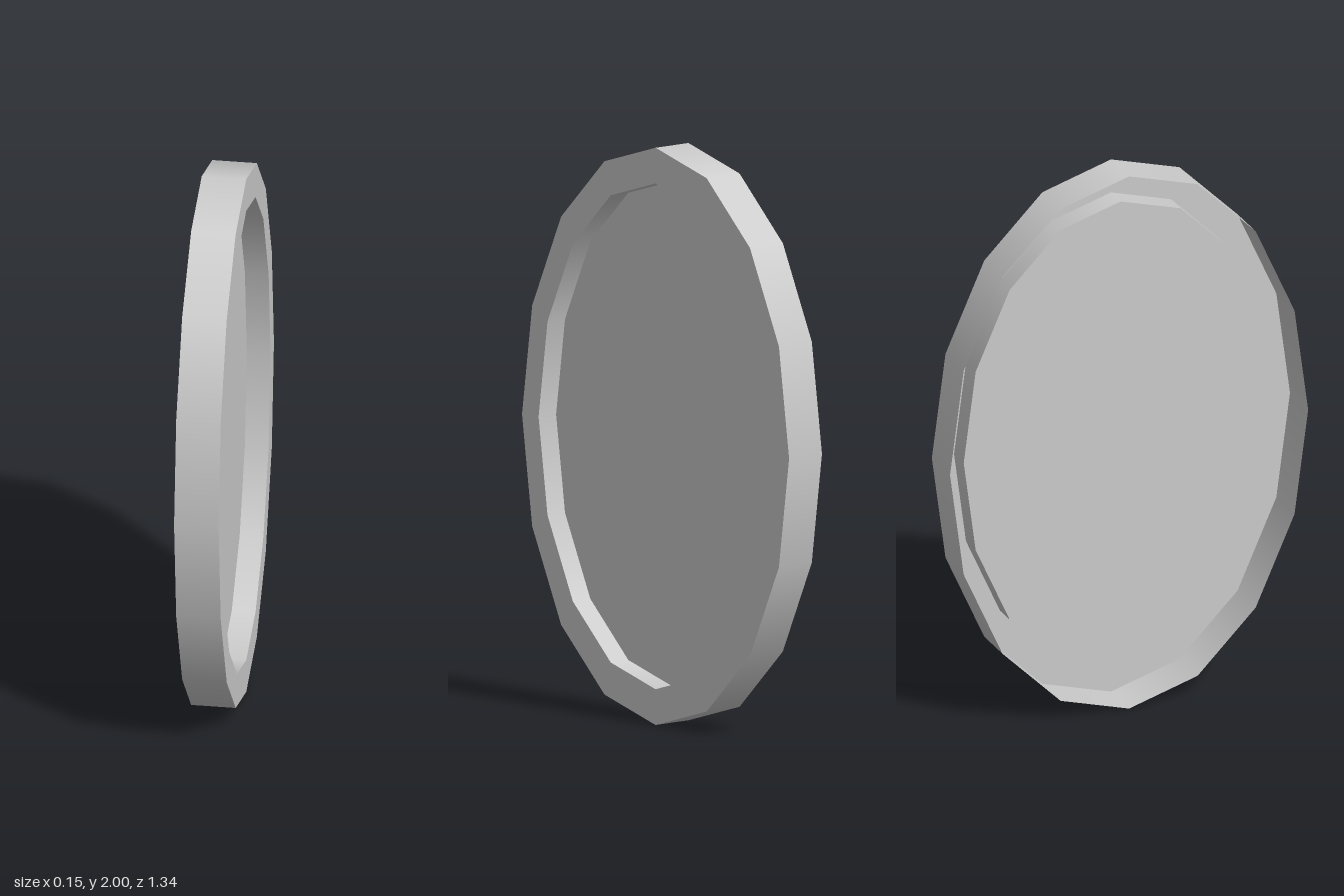
import * as THREE from 'three';

const SIDES = 16;
const HALF = 0.077;   // half thickness along x
const ASPECT = 0.67;  // oval width relative to height
const INNER = 0.876;  // opening relative to the outer rim
const PANEL_X = -0.005;

export function createModel() {
  const group = new THREE.Group();
  group.name = 'ovalFrame';
  const material = new THREE.MeshStandardMaterial({ color: 0xcccccc, side: THREE.DoubleSide });

  // Squash a round part into the oval and stand it on the ground
  const add = (name, geometry, x) => {
    geometry.scale(1, 1, ASPECT).translate(x, 1, 0);
    const mesh = new THREE.Mesh(geometry, material);
    mesh.name = name;
    group.add(mesh);
  };

  // Open band running along x
  const band = (radius, x0, x1) =>
    new THREE.CylinderGeometry(radius, radius, x1 - x0, SIDES, 1, true).rotateZ(Math.PI / 2);

  // Outer wall, open on the -x side
  add('outerWall', band(1, -HALF, HALF), 0);

  // Flat rim on the +x side
  add('rimFace', new THREE.RingGeometry(INNER, 1, SIDES).rotateY(Math.PI / 2), HALF);

  // Inner wall from the rim down to the recessed panel
  add('innerWall', band(INNER, PANEL_X, HALF), (PANEL_X + HALF) / 2);

  // Recessed panel
  add('panel', new THREE.CircleGeometry(INNER, SIDES).rotateY(Math.PI / 2), PANEL_X);

  return group;
}
